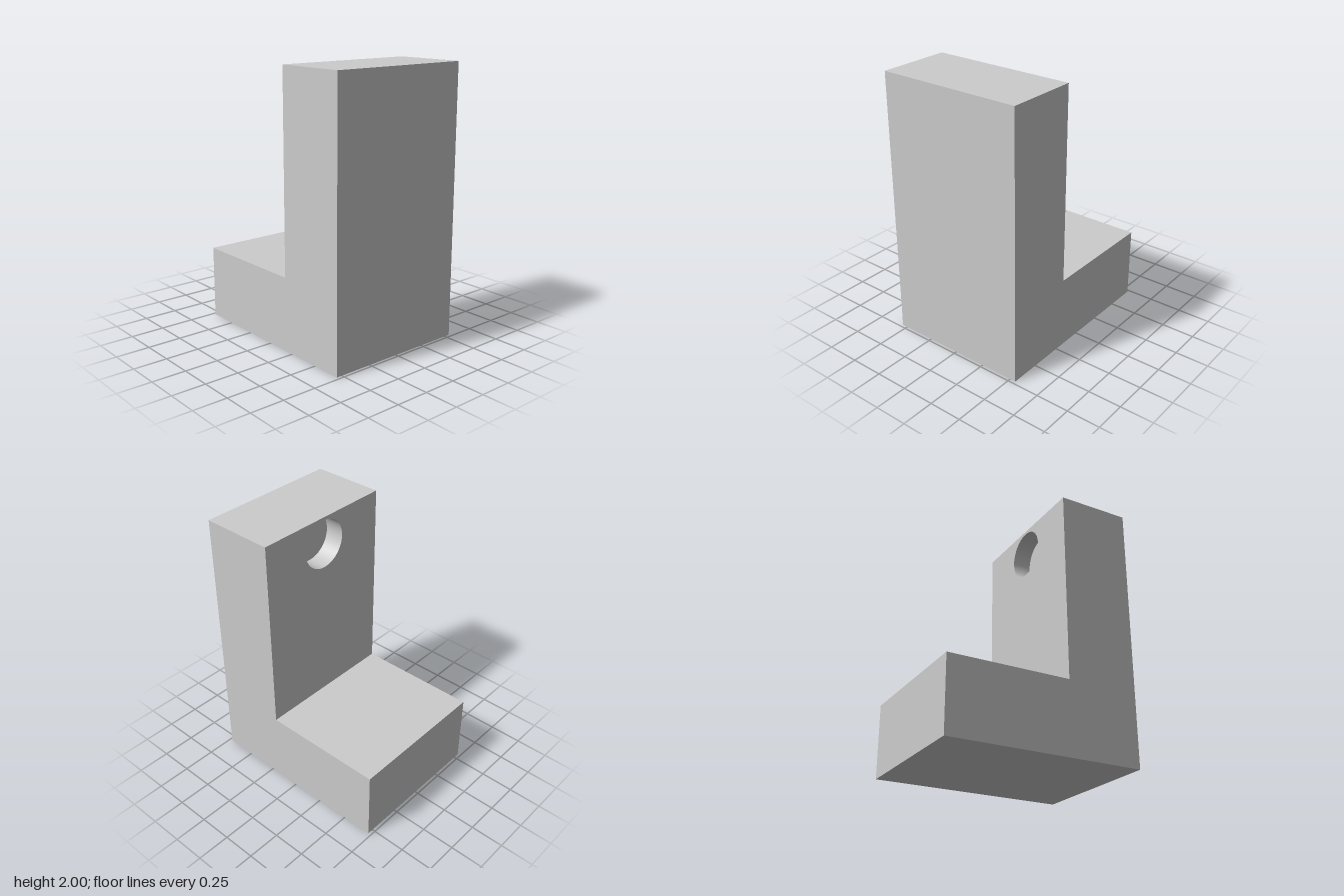
import * as THREE from 'three';

const HALF_X = 0.727, HALF_Z = 0.545, HEIGHT = 2;
const BASE_TOP = 0.545, INNER_X = 0.182;
const HOLE_Y = 1.795, HOLE_R = 0.183, HOLE_DEPTH = 0.145;

export function createModel() {
  const group = new THREE.Group();
  group.name = 'angleBracket';
  const material = new THREE.MeshStandardMaterial({ color: 0xcccccc });

  const add = (name, geometry) => {
    const mesh = new THREE.Mesh(geometry, material);
    mesh.name = name;
    group.add(mesh);
    return mesh;
  };

  // L-shaped body; its upright face is the floor of the blind hole
  const floorX = INNER_X + HOLE_DEPTH;
  const profile = new THREE.Shape([
    [-HALF_X, 0], [HALF_X, 0], [HALF_X, HEIGHT],
    [floorX, HEIGHT], [floorX, BASE_TOP], [-HALF_X, BASE_TOP],
  ].map(([x, y]) => new THREE.Vector2(x, y)));
  const body = new THREE.ExtrudeGeometry(profile, { depth: 2 * HALF_Z, bevelEnabled: false });
  body.translate(0, 0, -HALF_Z);
  add('body', body);

  // Inner layer of the upright, pierced by the round hole
  const face = new THREE.Shape([
    [-HALF_Z, BASE_TOP], [HALF_Z, BASE_TOP], [HALF_Z, HEIGHT], [-HALF_Z, HEIGHT],
  ].map(([z, y]) => new THREE.Vector2(z, y)));
  face.holes.push(new THREE.Path().absarc(0, HOLE_Y, HOLE_R, 0, Math.PI * 2, true));
  const plate = new THREE.ExtrudeGeometry(face, { depth: HOLE_DEPTH, bevelEnabled: false, curveSegments: 48 });
  plate.rotateY(Math.PI / 2); // extrusion now runs along +x
  plate.translate(INNER_X, 0, 0);
  add('uprightFaceWithHole', plate);

  return group;
}
